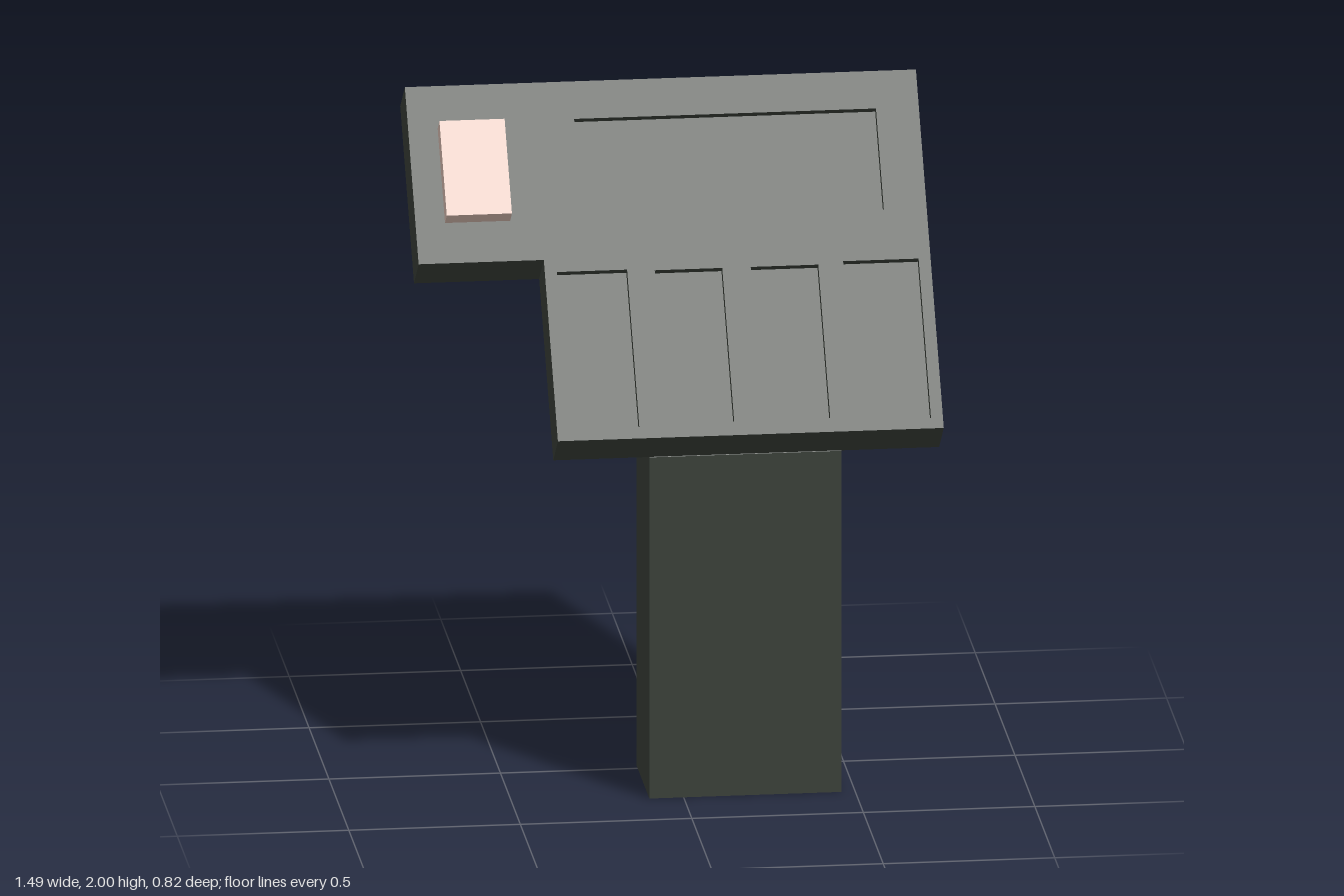
import * as THREE from 'three';

const rectangle = (x0, x1, y0, y1) =>
  [[x0, y0], [x1, y0], [x1, y1], [x0, y1]].map(([x, y]) => new THREE.Vector2(x, y));

export function createModel() {
  const darkGreen = new THREE.MeshStandardMaterial({ name: 'darkGreen', color: 0x3a4039 });
  const palePink = new THREE.MeshStandardMaterial({ name: 'palePink', color: 0xe0c3b7 });
  const model = new THREE.Group();
  model.name = 'controlPedestal';

  const add = (parent, name, geometry, material) => {
    const mesh = new THREE.Mesh(geometry, material);
    mesh.name = name;
    parent.add(mesh);
    return mesh;
  };

  // Column: side profile in (z, y), extruded across the width
  const profile = [[0.295, 0], [0.295, 1.035], [-0.055, 1.47], [-0.026, 1.0], [-0.026, 0]];
  const columnShape = new THREE.Shape(profile.map(([z, y]) => new THREE.Vector2(z, y)));
  const columnGeometry = new THREE.ExtrudeGeometry(columnShape, { depth: 0.56, bevelEnabled: false });
  columnGeometry.rotateY(-Math.PI / 2).translate(0.46, 0, 0);
  add(model, 'column', columnGeometry, darkGreen);

  // Tilted panel: local y runs up the slope, local z points out of its face
  const panel = new THREE.Group();
  panel.name = 'panel';
  panel.position.set(0, 1.13, 0.41);
  panel.rotation.x = -0.678;
  model.add(panel);

  const length = 1.117, thickness = 0.15, recessDepth = 0.025;
  const outline = [[-0.38, 0], [0.745, 0], [0.745, length], [-0.745, length], [-0.745, 0.565], [-0.38, 0.565]]
    .map(([x, y]) => new THREE.Vector2(x, y));

  const back = new THREE.ExtrudeGeometry(new THREE.Shape(outline),
    { depth: thickness - recessDepth, bevelEnabled: false });
  add(panel, 'panelBack', back.translate(0, 0, -thickness), darkGreen);

  // Front layer with one wide recess and four small ones
  const recesses = [
    [-0.26, 0.62, 0.685, 1.0],
    [-0.345, -0.14, 0.036, 0.526],
    [-0.06, 0.137, 0.043, 0.521],
    [0.22, 0.417, 0.043, 0.521],
    [0.49, 0.71, 0.032, 0.529],
  ];
  const faceShape = new THREE.Shape(outline);
  faceShape.holes = recesses.map((r) => new THREE.Path(rectangle(...r)));
  const face = new THREE.ExtrudeGeometry(faceShape, { depth: recessDepth, bevelEnabled: false });
  add(panel, 'panelFace', face.translate(0, 0, -recessDepth), darkGreen);

  // Raised block in the upper corner
  const block = add(panel, 'raisedBlock', new THREE.BoxGeometry(0.19, 0.295, 0.058), palePink);
  block.position.set(-0.564, 0.838, 0.029);

  return model;
}
